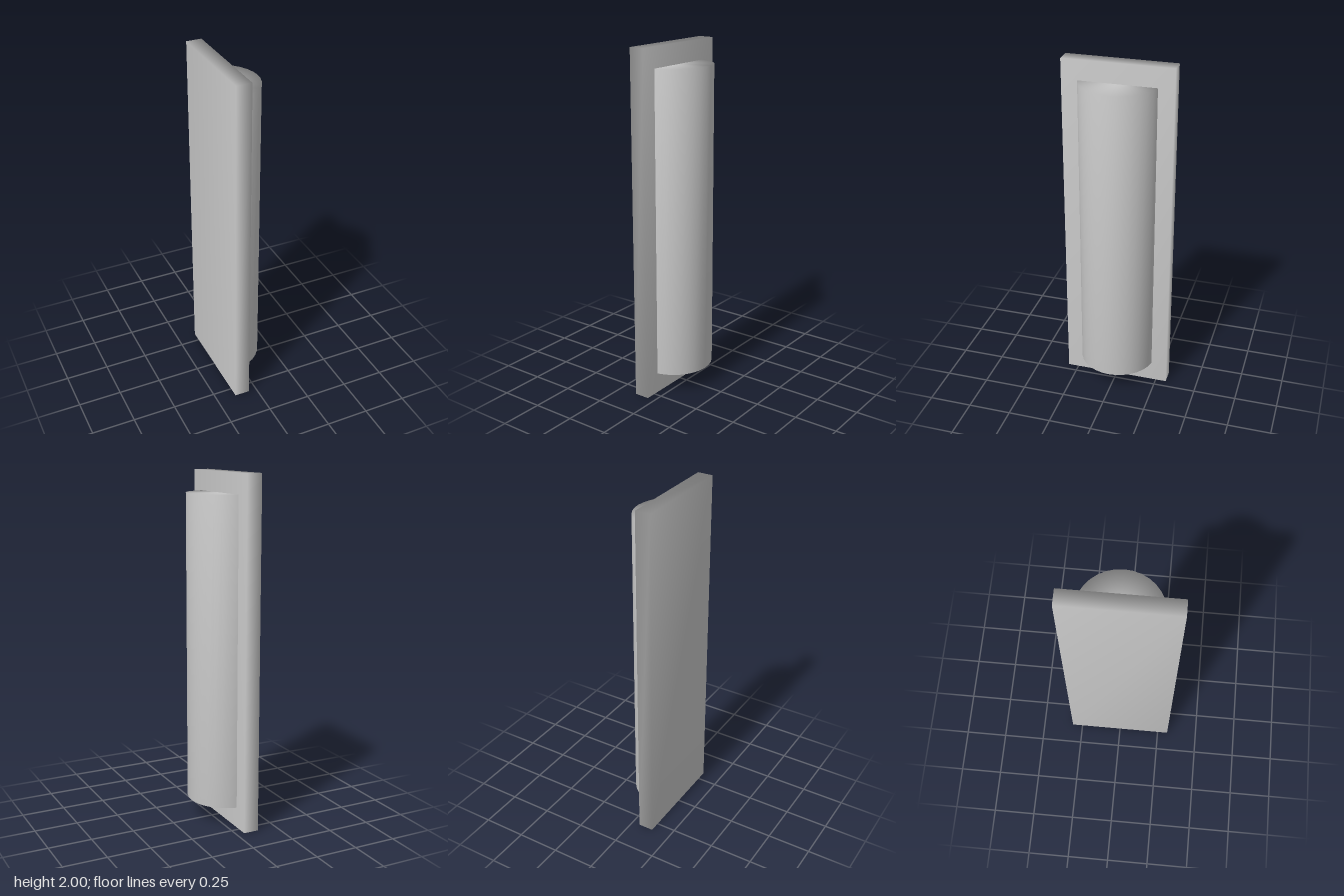
import * as THREE from 'three';
import { mergeVertices } from 'three/addons/utils/BufferGeometryUtils.js';

const material = new THREE.MeshStandardMaterial({ color: 0xcccccc });

// Weld all corners so the shading runs smoothly over the edges
function soften(geometry) {
  geometry.deleteAttribute('normal');
  geometry.deleteAttribute('uv');
  const welded = mergeVertices(geometry, 1e-4);
  welded.computeVertexNormals();
  return welded;
}

function addPart(group, name, geometry, x, y) {
  const mesh = new THREE.Mesh(soften(geometry), material);
  mesh.name = name;
  mesh.position.set(x, y, 0);
  group.add(mesh);
}

export function createModel() {
  const group = new THREE.Group();
  group.name = 'wallLamp';
  const plateX = -0.091;

  // Flat upright back plate
  addPart(group, 'backPlate', new THREE.BoxGeometry(0.088, 2, 0.626), plateX, 1);

  // Half-round cover, its open flat side sunk into the middle of the plate
  const cover = new THREE.CylinderGeometry(0.225, 0.225, 1.765, 16, 1, false, 0, Math.PI);
  addPart(group, 'halfRoundCover', cover, plateX, 1.0025);

  return group;
}
